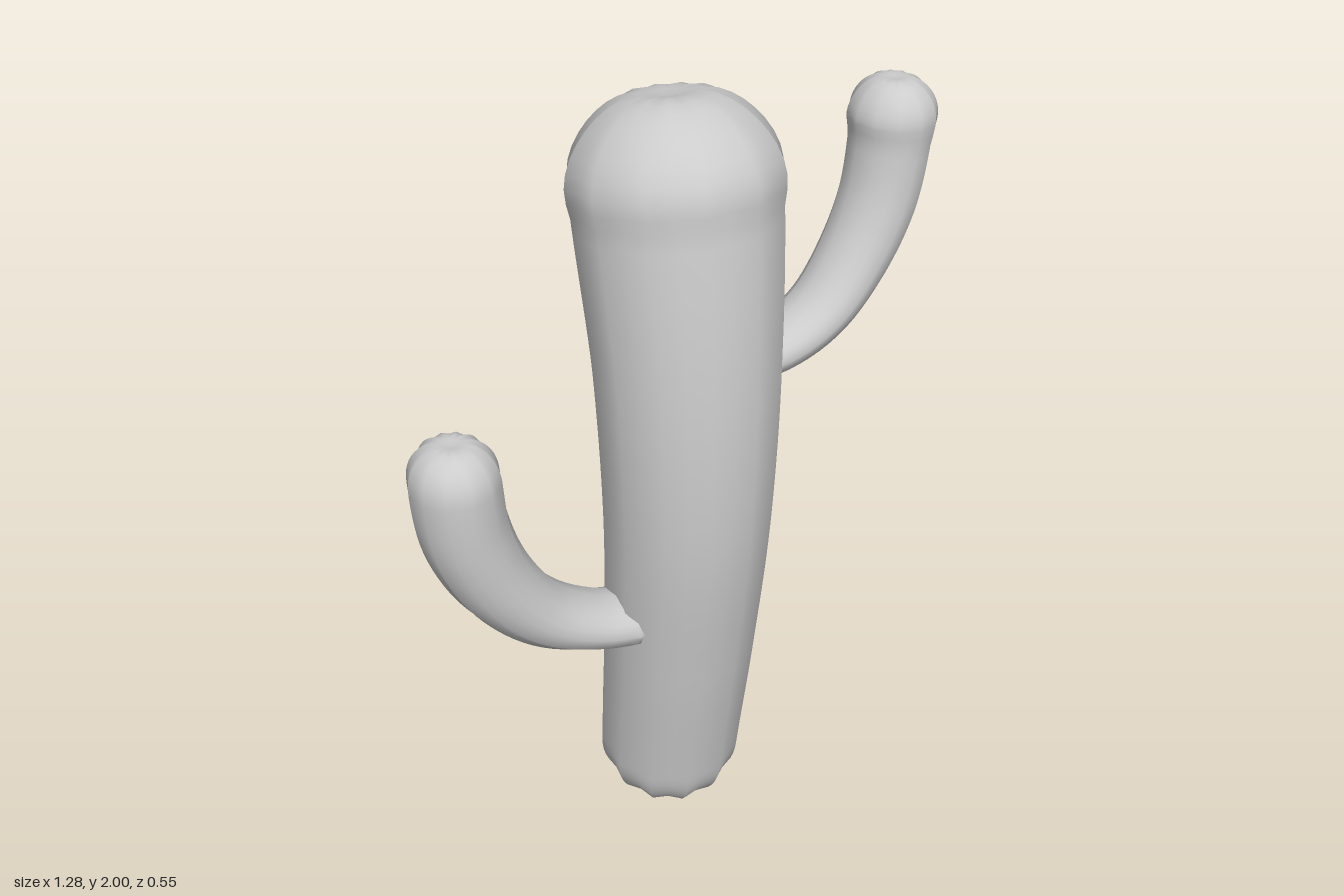
import * as THREE from 'three';
import { mergeVertices } from 'three/addons/utils/BufferGeometryUtils.js';

const RIBS = 12;
const SIDES = RIBS * 2; // one crest and one groove per rib

// Ribbed limb swept along a curve, with rounded and slightly dimpled ends.
// stations: [x, y, z, radius in the bending plane, radius across it]
function ribbedLimb(name, stations, across, rows, startCap, endCap) {
  const path = new THREE.CatmullRomCurve3(stations.map(s => new THREE.Vector3(s[0], s[1], s[2])));
  const radii = new THREE.CatmullRomCurve3(stations.map(s => new THREE.Vector3(s[3], s[4], 0)));
  path.arcLengthDivisions = 400;
  const length = path.getLength();

  // Distances along the limb, packed closely inside the caps
  const capRows = 12;
  const along = [];
  for (let i = 0; i < capRows; i++) along.push(startCap * (1 - Math.cos(i / capRows * Math.PI / 2)));
  for (let i = 0; i <= rows; i++) along.push(startCap + (length - startCap - endCap) * i / rows);
  for (let i = capRows - 1; i >= 0; i--) along.push(length - endCap * (1 - Math.cos(i / capRows * Math.PI / 2)));

  const round = x => x >= 1 ? 1 : Math.pow(1 - Math.pow(1 - Math.max(x, 0), 2.3), 1 / 2.3);
  const positions = [], index = [];
  along.forEach((d, i) => {
    const t = path.getUtoTmapping(d / length);
    const centre = path.getPoint(t);
    const tangent = path.getTangent(t);
    const r = radii.getPoint(t);
    const normal = across.clone().cross(tangent).normalize();
    const side = tangent.clone().cross(normal);

    const f = Math.min(round(d / startCap), round((length - d) / endCap));
    const inward = d < length / 2 ? 1 : -1;
    centre.addScaledVector(tangent, inward * 0.1 * r.y * Math.exp(-((f / 0.3) ** 2)));
    const depth = 0.055 + 0.17 * (1 - f);

    for (let j = 0; j < SIDES; j++) {
      const a = j / SIDES * Math.PI * 2;
      const k = f * (j % 2 ? 1 - depth : 1);
      const p = centre.clone()
        .addScaledVector(normal, Math.cos(a) * r.x * k)
        .addScaledVector(side, Math.sin(a) * r.y * k);
      positions.push(p.x, p.y, p.z);
      if (i < along.length - 1) {
        const n = (j + 1) % SIDES;
        const p0 = i * SIDES + j, p1 = i * SIDES + n;
        index.push(p0, p1, p1 + SIDES, p0, p1 + SIDES, p0 + SIDES);
      }
    }
  });

  let geometry = new THREE.BufferGeometry();
  geometry.setAttribute('position', new THREE.Float32BufferAttribute(positions, 3));
  geometry.setIndex(index);
  geometry = mergeVertices(geometry, 1e-6);
  geometry.computeVertexNormals();
  const mesh = new THREE.Mesh(geometry, new THREE.MeshStandardMaterial({ color: 0xcccccc }));
  mesh.name = name;
  return mesh;
}

export function createModel() {
  const group = new THREE.Group();
  group.name = 'cactus';

  // Trunk: bows forward in the middle and swells towards the top
  group.add(ribbedLimb('trunk', [
    [0.005, -0.008, -0.078, 0.186, 0.178],
    [0.006, 0.20, -0.046, 0.191, 0.183],
    [0.014, 0.60, 0.017, 0.197, 0.192],
    [0.022, 1.00, 0.053, 0.211, 0.203],
    [0.023, 1.40, 0.042, 0.217, 0.218],
    [0.018, 1.75, -0.024, 0.241, 0.237],
    [0.012, 1.995, -0.077, 0.241, 0.237],
  ], new THREE.Vector3(1, 0, 0), 40, 0.19, 0.26));

  // Upper arm on the left, bending up and back
  group.add(ribbedLimb('leftArm', [
    [0.10, 1.335, 0.01, 0.055, 0.08],
    [0.25, 1.358, -0.012, 0.057, 0.083],
    [0.36, 1.415, -0.042, 0.066, 0.087],
    [0.45, 1.52, -0.078, 0.079, 0.092],
    [0.513, 1.65, -0.106, 0.089, 0.097],
    [0.54, 1.80, -0.122, 0.093, 0.1],
    [0.542, 1.935, -0.128, 0.093, 0.1],
  ], new THREE.Vector3(0.3, 0, 1).normalize(), 30, 0.05, 0.1));

  // Lower arm on the right, bending up and forward
  group.add(ribbedLimb('rightArm', [
    [-0.095, 0.695, 0.074, 0.062, 0.09],
    [-0.22, 0.72, 0.093, 0.066, 0.093],
    [-0.35, 0.79, 0.115, 0.08, 0.098],
    [-0.455, 0.92, 0.136, 0.095, 0.104],
    [-0.515, 1.07, 0.146, 0.104, 0.11],
    [-0.532, 1.20, 0.148, 0.106, 0.112],
    [-0.532, 1.33, 0.144, 0.104, 0.11],
  ], new THREE.Vector3(0.18, 0, 1).normalize(), 30, 0.04, 0.11));

  return group;
}
